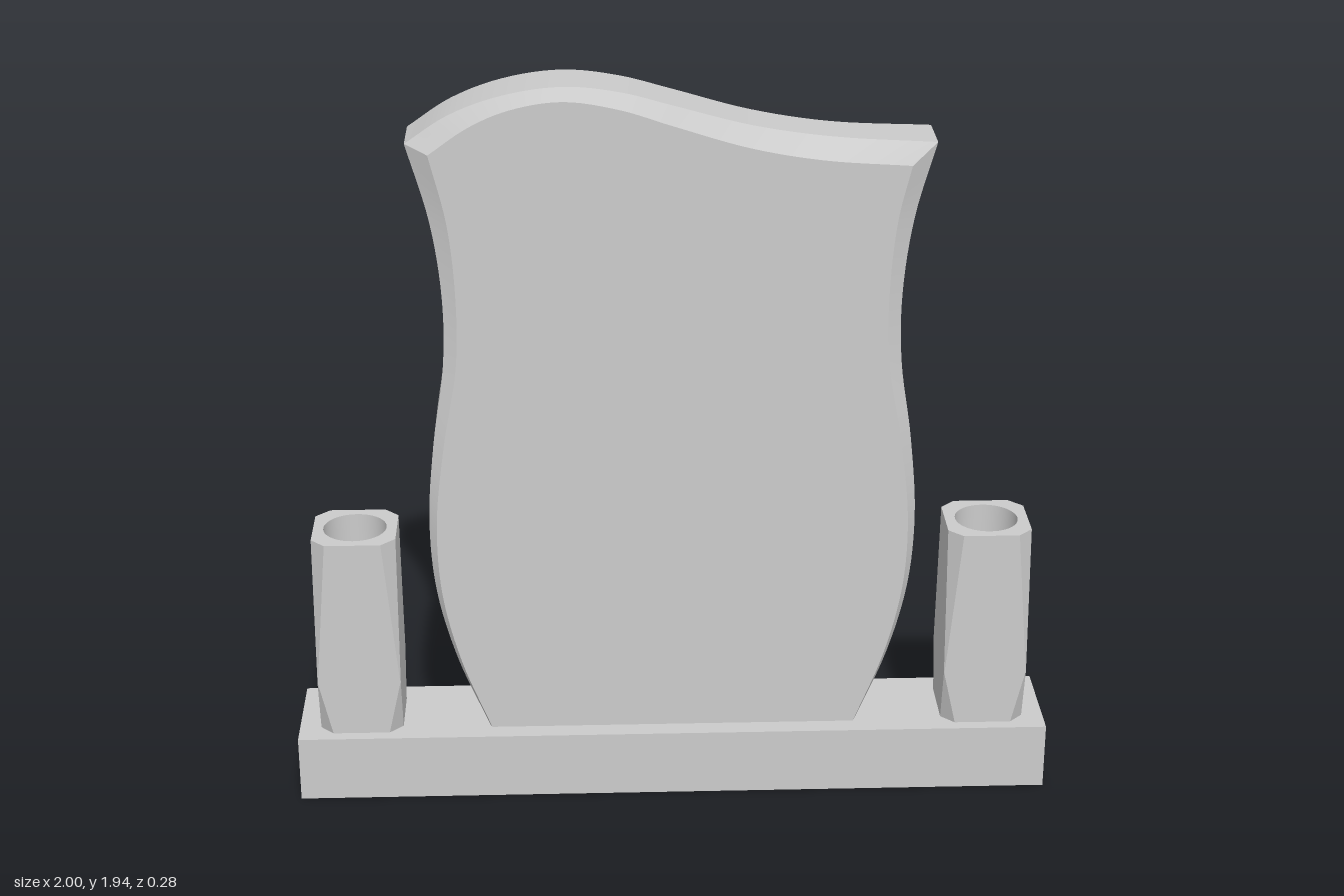
import * as THREE from 'three';
import { toCreasedNormals } from 'three/addons/utils/BufferGeometryUtils.js';

const material = new THREE.MeshStandardMaterial({ color: 0xcccccc });
const openMaterial = new THREE.MeshStandardMaterial({ color: 0xcccccc, side: THREE.DoubleSide });

function addMesh(parent, name, geometry, mat = material) {
  const mesh = new THREE.Mesh(geometry, mat);
  mesh.name = name;
  parent.add(mesh);
  return mesh;
}

// Skins equal-length outlines (counter-clockwise, ordered along +z) and caps the chosen ends
function loft(rings, crease, capEnd = true) {
  const n = rings[0].length;
  const index = [];
  for (let i = 0; i < rings.length - 1; i++) {
    for (let j = 0; j < n; j++) {
      const k = (j + 1) % n;
      const a = i * n + j, b = i * n + k, c = b + n, d = a + n;
      index.push(a, b, c, a, c, d);
    }
  }
  const cap = (ring, offset, flip) => {
    const flat = ring.map(p => new THREE.Vector2(p.x, p.y));
    for (const [a, b, c] of THREE.ShapeUtils.triangulateShape(flat, [])) {
      if (flip) index.push(offset + a, offset + c, offset + b);
      else index.push(offset + a, offset + b, offset + c);
    }
  };
  cap(rings[0], 0, true);
  if (capEnd) cap(rings[rings.length - 1], (rings.length - 1) * n, false);
  const geometry = new THREE.BufferGeometry().setFromPoints(rings.flat());
  geometry.setIndex(index);
  return toCreasedNormals(geometry, crease);
}

// Slab outline: right side upwards, top from right to left, mirrored left side downwards
function slabOutline(side, top) {
  const vectors = list => list.map(p => new THREE.Vector3(...p));
  const left = side.map(([x, y, z]) => [-x, y, z]).reverse();
  left[0] = top[top.length - 1];
  const sample = list => new THREE.CatmullRomCurve3(vectors(list)).getPoints(48);
  return [...sample(side).slice(0, -1), ...sample(top).slice(0, -1), ...sample(left)];
}

function createSlab() {
  const outer = slabOutline(
    [[0.49, 0.18, 0.078], [0.57, 0.38, 0.075], [0.62, 0.58, 0.072], [0.633, 0.78, 0.071], [0.615, 1.0, 0.073],
      [0.583, 1.22, 0.075], [0.58, 1.4, 0.072], [0.605, 1.6, 0.065], [0.657, 1.79, 0.055]],
    [[0.657, 1.79, 0.055], [0.4, 1.803, 0.042], [0.2, 1.836, 0.05], [0, 1.892, 0.06], [-0.13, 1.927, 0.061],
      [-0.27, 1.943, 0.065], [-0.42, 1.922, 0.066], [-0.55, 1.873, 0.06], [-0.66, 1.8, 0.055]]);
  const inner = slabOutline(
    [[0.485, 0.18, 0.09], [0.56, 0.38, 0.09], [0.605, 0.58, 0.09], [0.613, 0.78, 0.09], [0.588, 1.0, 0.09],
      [0.55, 1.22, 0.09], [0.545, 1.4, 0.09], [0.561, 1.6, 0.09], [0.592, 1.74, 0.09]],
    [[0.592, 1.74, 0.09], [0.37, 1.757, 0.09], [0.19, 1.79, 0.09], [0, 1.848, 0.09], [-0.13, 1.89, 0.09],
      [-0.27, 1.912, 0.09], [-0.4, 1.892, 0.09], [-0.5, 1.85, 0.09], [-0.602, 1.78, 0.09]]);
  const back = outer.map(p => new THREE.Vector3(p.x, p.y, -0.09));
  return loft([back, outer, inner], 0.4);
}

// Square of half-width h with its corners cut by c, at height z
function cutSquare(h, c, z) {
  return [[h, c - h], [h, h - c], [h - c, h], [c - h, h], [-h, h - c], [-h, c - h], [c - h, -h], [h - c, -h]]
    .map(([x, y]) => new THREE.Vector3(x, y, z));
}

function createVase(x) {
  const vase = new THREE.Group();
  const half = 0.11, topY = 0.735, radius = 0.083, depth = 0.4;

  // Corners are sharp at the waist and taper into flats above and below
  const rings = [cutSquare(half, 0.035, 0.18), cutSquare(half, 0.001, 0.33), cutSquare(half, 0.037, topY)];
  addMesh(vase, 'vaseBody', loft(rings, 0.05, false).rotateX(-Math.PI / 2));

  // Rim with the round opening
  const rim = new THREE.Shape(rings[2].map(p => new THREE.Vector2(p.x, p.y)));
  rim.holes.push(new THREE.Path().absarc(0, 0, radius, 0, Math.PI * 2, true));
  addMesh(vase, 'vaseRim', new THREE.ShapeGeometry(rim, 24).rotateX(-Math.PI / 2)).position.y = topY;

  // Bore and its floor
  const bore = new THREE.CylinderGeometry(radius, radius, depth, 48, 1, true);
  addMesh(vase, 'vaseBore', bore, openMaterial).position.y = topY - depth / 2;
  const floor = new THREE.CircleGeometry(radius, 48).rotateX(-Math.PI / 2);
  addMesh(vase, 'vaseFloor', floor).position.y = topY - depth;

  vase.position.x = x;
  return vase;
}

export function createModel() {
  const model = new THREE.Group();
  model.name = 'headstone';

  addMesh(model, 'base', new THREE.BoxGeometry(2, 0.18, 0.285)).position.y = 0.09;
  addMesh(model, 'slab', createSlab());

  for (const [name, x] of [['leftVase', 0.833], ['rightVase', -0.833]]) {
    const vase = createVase(x);
    vase.name = name;
    model.add(vase);
  }
  return model;
}
